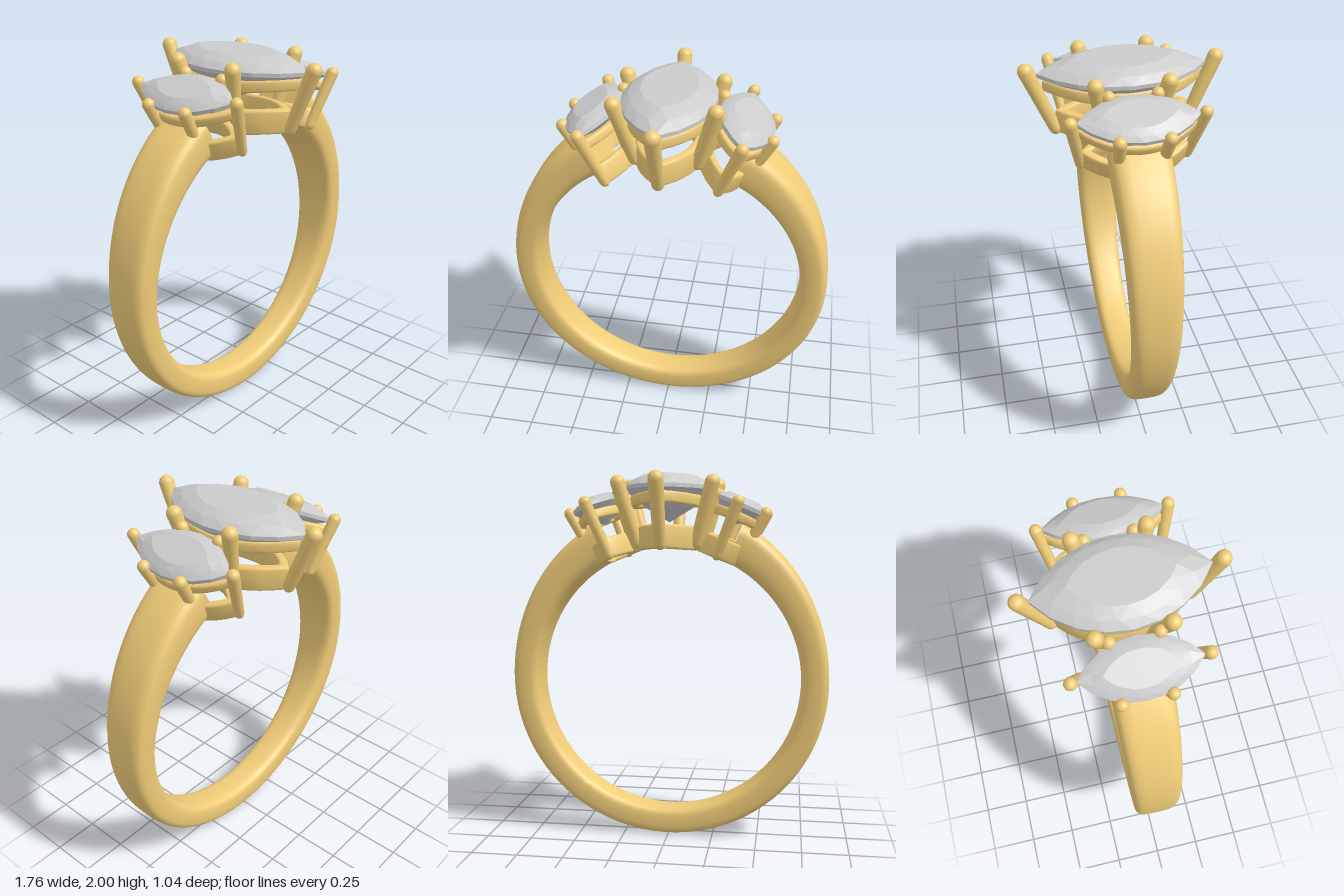
import * as THREE from 'three';
import { toCreasedNormals } from 'three/addons/utils/BufferGeometryUtils.js';

const gold = new THREE.MeshStandardMaterial({ color: 0xf0cc78 });
const gem = new THREE.MeshStandardMaterial({ color: 0xcccccc, flatShading: true });
const CENTRE = 0.88; // height of the finger hole's centre
const V = (x, y, z) => new THREE.Vector3(x, y, z);

function mesh(name, geometry, material = gold) {
  const m = new THREE.Mesh(geometry, material);
  m.name = name;
  return m;
}

// Pointed oval of two arcs, half length a (z) and half width b (x)
function marquise(a, b, n) {
  const R = (a * a + b * b) / (2 * b), half = Math.asin(a / R), pts = [];
  for (const side of [1, -1])
    for (let i = 0; i < n; i++) {
      const t = -half + (2 * half * i) / n;
      pts.push(new THREE.Vector2(side * (R * Math.cos(t) - R + b), side * R * Math.sin(t)));
    }
  return pts;
}

// Open shank: a rounded section swept round the finger, wider and thicker at the shoulders
function shank() {
  const N = 128, M = 32, start = 0.45, pos = [], idx = [];
  const power = (v, e) => Math.sign(v) * Math.abs(v) ** e;
  for (let i = 0; i <= N; i++) {
    const t = start + ((2 * Math.PI - 2 * start) * i) / N;
    const c = Math.cos(t), s = Math.sin(t);
    const inner = 0.73, outer = 0.88 + 0.09 * Math.max(0, c) ** 2;
    const width = 0.1225 + 0.0325 * c;
    for (let j = 0; j < M; j++) {
      const p = (2 * Math.PI * j) / M;
      const r = (inner + outer) / 2 + ((outer - inner) / 2) * power(Math.cos(p), 0.55);
      pos.push(r * s, r * c, width * power(Math.sin(p), 0.5));
    }
  }
  for (let i = 0; i < N; i++)
    for (let j = 0; j < M; j++) {
      const a = i * M + j, b = i * M + ((j + 1) % M);
      idx.push(a, b, a + M, b, b + M, a + M);
    }
  // end caps
  for (let j = 1; j < M - 1; j++) {
    const e = N * M;
    idx.push(0, j + 1, j, e, e + j, e + j + 1);
  }
  const g = new THREE.BufferGeometry();
  g.setAttribute('position', new THREE.Float32BufferAttribute(pos, 3));
  g.setIndex(idx);
  return toCreasedNormals(g, 0.9);
}

// Faceted stone: stacked marquise rings closed by a table and a culet
function stone(a, b, girdle, crown, pavilion) {
  const n = 8, M = 2 * n, pos = [];
  const levels = [
    [0.6, girdle + crown, 0], [0.84, girdle + crown * 0.6, 1], [1, girdle + 0.01, 0],
    [1, girdle - 0.01, 0], [0.55, girdle - pavilion * 0.55, 1],
  ];
  const fine = marquise(a, b, M);
  const rings = levels.map(([k, y, shift]) =>
    Array.from({ length: M }, (_, i) => {
      const p = fine[(2 * i + shift) % (2 * M)];
      return V(p.x * k, y, p.y * k);
    }));
  const tri = (...ps) => ps.forEach((p) => pos.push(p.x, p.y, p.z));
  const top = V(0, girdle + crown, 0), culet = V(0, girdle - pavilion, 0);
  for (let i = 0; i < M; i++) {
    const j = (i + 1) % M;
    tri(top, rings[0][j], rings[0][i]);
    for (let k = 0; k < rings.length - 1; k++) {
      const u = rings[k], d = rings[k + 1];
      // split each band along the diagonal that suits its half-step shift
      if (levels[k][2]) tri(u[i], d[j], d[i]), tri(u[i], u[j], d[j]);
      else tri(u[i], u[j], d[i]), tri(u[j], d[j], d[i]);
    }
    tri(culet, rings[4][i], rings[4][j]);
  }
  const g = new THREE.BufferGeometry();
  g.setAttribute('position', new THREE.Float32BufferAttribute(pos, 3));
  g.computeVertexNormals();
  return g;
}

// Marquise hoop bent to follow the curve of the finger
function rail(a, b, wall, y, height) {
  const bevel = 0.012;
  const shape = new THREE.Shape(marquise(a - bevel, b - bevel, 24));
  shape.holes.push(new THREE.Path(marquise(a - wall * 1.4 + bevel, b - wall + bevel, 24)));
  const g = new THREE.ExtrudeGeometry(shape, {
    depth: height - 2 * bevel, bevelEnabled: true,
    bevelSize: bevel, bevelThickness: bevel, bevelSegments: 3,
  });
  g.rotateX(-Math.PI / 2).translate(0, y + bevel, 0);
  const p = g.attributes.position;
  for (let i = 0; i < p.count; i++)
    p.setY(i, Math.sqrt(p.getY(i) ** 2 - p.getX(i) ** 2));
  return toCreasedNormals(g, 0.7);
}

// Round-ended claw, slimmer at its foot
function prong(foot, tip, r) {
  const axis = tip.clone().sub(foot), L = axis.length();
  const g = new THREE.CapsuleGeometry(r, L, 8, 20);
  const p = g.attributes.position;
  for (let i = 0; i < p.count; i++) {
    const k = THREE.MathUtils.clamp(0.9 + (0.2 * p.getY(i)) / L, 0.8, 1);
    p.setXYZ(i, p.getX(i) * k, p.getY(i), p.getZ(i) * k);
  }
  g.computeVertexNormals();
  const m = mesh('prong', g);
  m.position.copy(foot).add(tip).multiplyScalar(0.5);
  m.quaternion.setFromUnitVectors(V(0, 1, 0), axis.normalize());
  return m;
}

// Stone with two rails and six prongs, radial about the finger hole
function head(name, o) {
  const g = new THREE.Group();
  g.name = name;
  g.add(mesh('stone', stone(o.a, o.b, o.girdle, o.crown, o.pavilion), gem));
  g.add(mesh('upperRail', rail(...o.upper)));
  g.add(mesh('lowerRail', rail(...o.lower)));
  for (const sz of [1, -1]) {
    const [zFoot, zTip] = o.endZ;
    g.add(prong(V(0, o.footY, sz * zFoot), V(0, o.tipY, sz * zTip), o.r));
    for (const sx of [1, -1]) {
      const [fx, fz, tx, tz] = o.sideXZ;
      g.add(prong(V(sx * fx, o.footY, sz * fz), V(sx * tx, o.tipY, sz * tz), o.r));
    }
  }
  return g;
}

export function createModel() {
  const ring = new THREE.Group();
  ring.name = 'threeStoneRing';
  const body = new THREE.Group();
  body.name = 'ringBody';
  body.position.y = CENTRE;
  ring.add(body);

  body.add(mesh('shank', shank()));

  body.add(head('centreSetting', {
    a: 0.43, b: 0.24, girdle: 1.05, crown: 0.07, pavilion: 0.18,
    upper: [0.4, 0.21, 0.04, 0.965, 0.06],
    lower: [0.34, 0.17, 0.04, 0.735, 0.125],
    footY: 0.765, tipY: 1.075, r: 0.04,
    endZ: [0.35, 0.48], sideXZ: [0.16, 0.12, 0.25, 0.18],
  }));

  for (const side of [1, -1]) {
    const h = head(side > 0 ? 'leftSetting' : 'rightSetting', {
      a: 0.3, b: 0.15, girdle: 1.035, crown: 0.045, pavilion: 0.11,
      upper: [0.29, 0.14, 0.035, 0.95, 0.05],
      lower: [0.27, 0.125, 0.035, 0.735, 0.11],
      footY: 0.76, tipY: 1.045, r: 0.032,
      endZ: [0.27, 0.325], sideXZ: [0.11, 0.1, 0.143, 0.12],
    });
    h.rotation.z = -side * 0.385;
    body.add(h);
  }
  return ring;
}
